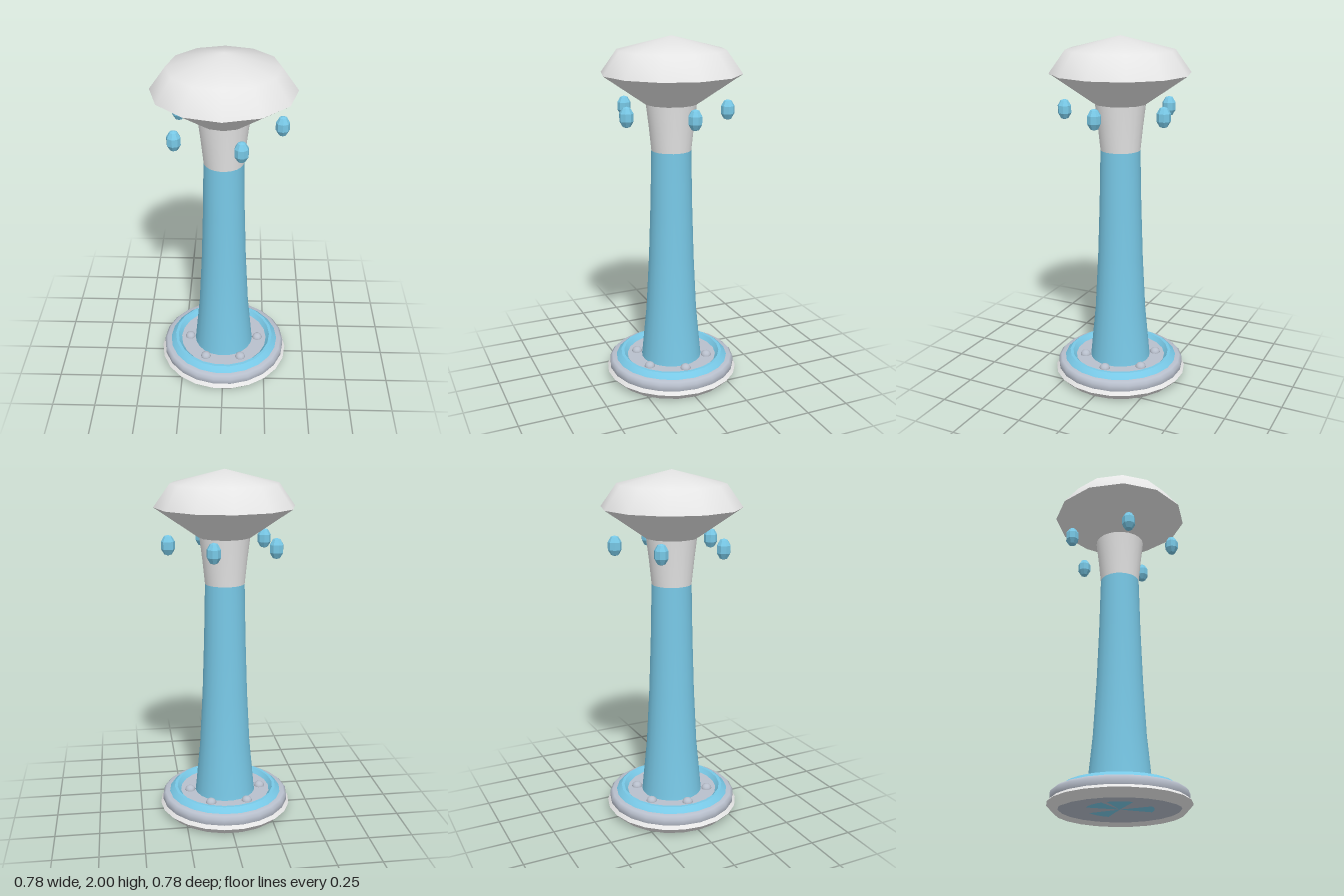
import * as THREE from 'three';
import { mergeVertices } from 'three/addons/utils/BufferGeometryUtils.js';

const material = (name, color) => {
  const m = new THREE.MeshStandardMaterial({ color });
  m.name = name;
  return m;
};

// Turned shape from [radius, height] pairs, with a corner on the x axis and smooth poles
function turnedShape(profile, sides) {
  const lathe = new THREE.LatheGeometry(profile.map(([r, y]) => new THREE.Vector2(r, y)), sides);
  lathe.rotateY(Math.PI / 2);
  lathe.deleteAttribute('normal');
  lathe.deleteAttribute('uv');
  const shape = mergeVertices(lathe, 1e-5);
  shape.computeVertexNormals();
  return shape;
}

export function createModel() {
  const group = new THREE.Group();
  const lightGrey = material('lightGrey', 0xe4e4e4);
  const white = material('white', 0xffffff);
  const blue = material('blue', 0x78c8e6);
  const silver = material('silver', 0xb8bfcc);

  const add = (name, geometry, mat, x = 0, y = 0, z = 0) => {
    const mesh = new THREE.Mesh(geometry, mat);
    mesh.name = name;
    mesh.position.set(x, y, z);
    group.add(mesh);
    return mesh;
  };
  const turned = (name, profile, sides, mat) => add(name, turnedShape(profile, sides), mat);

  // Base: diamond-section foot ring around a recessed underside
  turned('footInner', [[0.305, 0.042], [0.346, 0]], 22, lightGrey);
  turned('footBevel', [[0.346, 0], [0.386, 0.042]], 22, lightGrey);
  turned('footTop', [[0.386, 0.042], [0.346, 0.082]], 22, lightGrey);
  turned('baseUnderside', [[0, 0.021], [0.33, 0.021]], 22, silver);

  // Rounded band, raised lip and sunken floor
  turned('baseBand', [[0.36, 0.05], [0.371, 0.064], [0.371, 0.095], [0.356, 0.11], [0.32, 0.114]], 22, silver);
  turned('baseLipOuter', [[0.335, 0.108], [0.325, 0.12], [0.302, 0.14]], 22, blue);
  turned('baseLipTop', [[0.302, 0.14], [0.285, 0.14]], 22, blue);
  turned('baseLipInner', [[0.285, 0.14], [0.262, 0.112]], 22, blue);
  turned('baseFloor', [[0.28, 0.115], [0, 0.115]], 22, silver);

  // Blue blades on the underside
  for (const degrees of [65, 153, 206, 292]) {
    const start = THREE.MathUtils.degToRad(degrees - 22);
    const blade = new THREE.CircleGeometry(0.182, 4, start, THREE.MathUtils.degToRad(44)).rotateX(Math.PI / 2);
    add('undersideBlade', blade, blue, 0, 0.019, 0);
  }

  // Ring of domed bolts
  const boltShape = new THREE.SphereGeometry(0.031, 10, 4, 0, Math.PI * 2, 0, Math.PI / 2).scale(1, 0.87, 1);
  for (let i = 0; i < 6; i++) {
    const a = (i * Math.PI) / 3;
    add('bolt', boltShape, silver, 0.21 * Math.cos(a), 0.115, 0.21 * Math.sin(a));
  }

  // Tapered column and flaring neck
  turned('column', [[0.178, 0.11], [0.174, 0.14], [0.147, 0.42], [0.13, 0.74], [0.119, 1.06], [0.112, 1.373]], 22, blue);
  turned('neck', [[0.112, 1.373], [0.126, 1.51], [0.143, 1.65]], 22, white);

  // Twelve-sided cap
  turned('capUnderside', [[0.13, 1.632], [0.147, 1.634], [0.39, 1.8]], 12, lightGrey);
  turned('capTop', [[0.39, 1.8], [0.3, 1.925], [0, 2]], 12, lightGrey);

  // Faceted beads floating around the neck
  const beadShape = turnedShape(
    [[0, -0.057], [0.021, -0.05], [0.038, -0.021], [0.038, 0.021], [0.021, 0.05], [0, 0.057]], 8).toNonIndexed();
  beadShape.computeVertexNormals();
  for (let i = 0; i < 5; i++) {
    const a = (i * Math.PI * 2) / 5;
    add('bead', beadShape, blue, 0.314 * Math.cos(a), 1.594, 0.314 * Math.sin(a)).rotation.y = -a;
  }

  return group;
}
